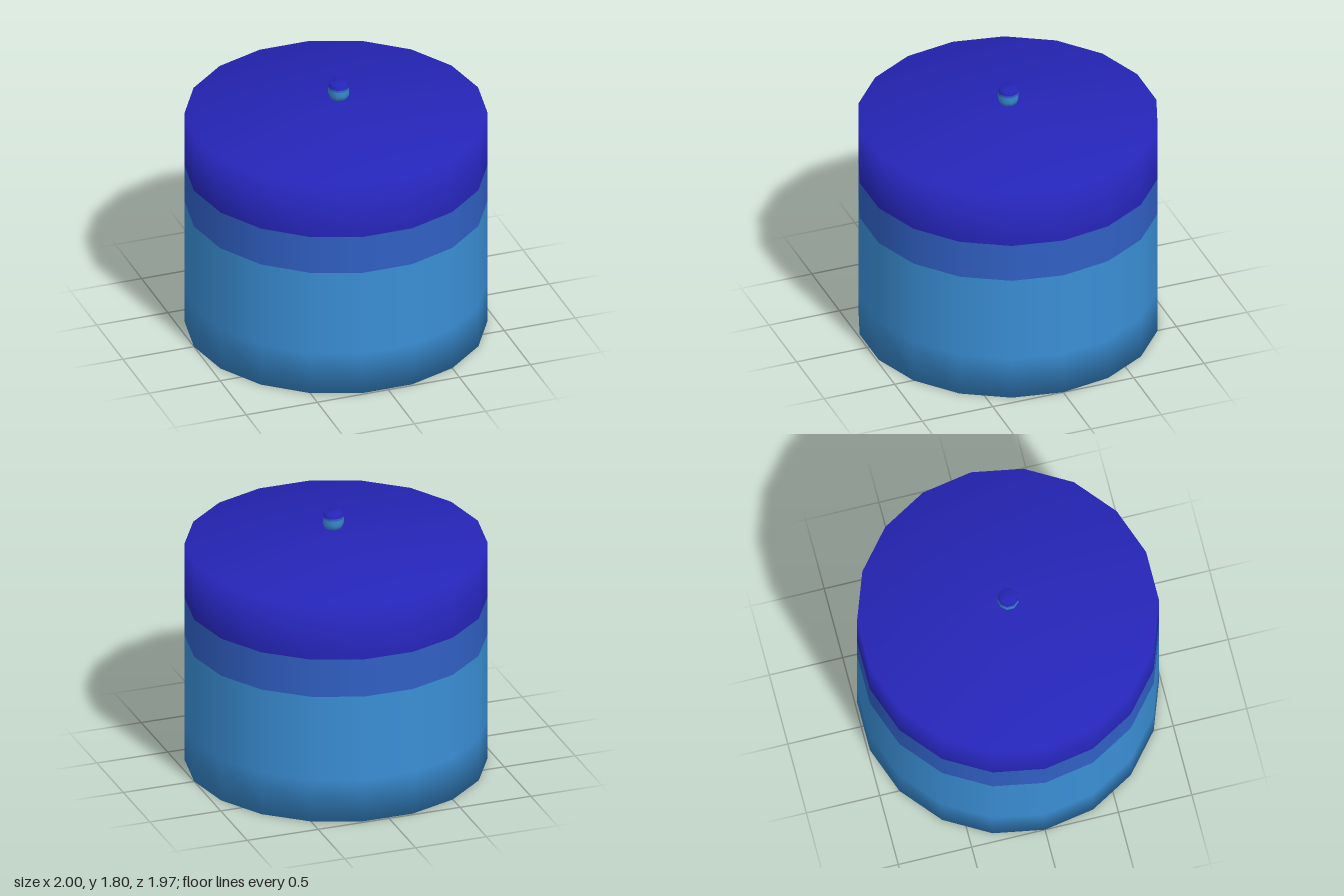
import * as THREE from 'three';

const material = (name, color) => {
  const m = new THREE.MeshStandardMaterial({ color });
  m.name = name;
  return m;
};

// A turned band of a solid, smooth across its rims
function band(name, profile, sides, mat) {
  const points = profile.map(([r, y]) => new THREE.Vector2(r, y));
  const mesh = new THREE.Mesh(new THREE.LatheGeometry(points, sides, Math.PI / 2), mat);
  mesh.name = name;
  return mesh;
}

export function createModel() {
  const lightBlue = material('light blue', 0x3a8fd6);
  const midBlue = material('medium blue', 0x3060c4);
  const deepBlue = material('deep blue', 0x2525b8);
  const model = new THREE.Group();
  model.name = 'bandedDrum';

  // Eighteen-sided drum in three colour bands
  const drum = new THREE.Group();
  drum.name = 'drum';
  drum.add(
    band('drumBase', [[0, 0], [1, 0], [1, 0.3], [1, 0.905]], 18, lightBlue),
    band('drumMiddle', [[1, 0.905], [1, 1.175]], 18, midBlue),
    band('drumTop', [[1, 1.175], [1, 1.575], [0, 1.575]], 18, deepBlue)
  );

  // Small floating knob repeating the bands
  const knob = new THREE.Group();
  knob.name = 'knob';
  knob.add(
    band('knobBase', [[0, 1.69], [0.058, 1.69], [0.07, 1.72], [0.07, 1.758]], 9, lightBlue),
    band('knobMiddle', [[0.07, 1.758], [0.068, 1.772]], 9, midBlue),
    band('knobTop', [[0.068, 1.772], [0.058, 1.805], [0, 1.805]], 9, deepBlue)
  );
  knob.position.set(0.018, 0, 0.005);

  model.add(drum, knob);
  return model;
}
